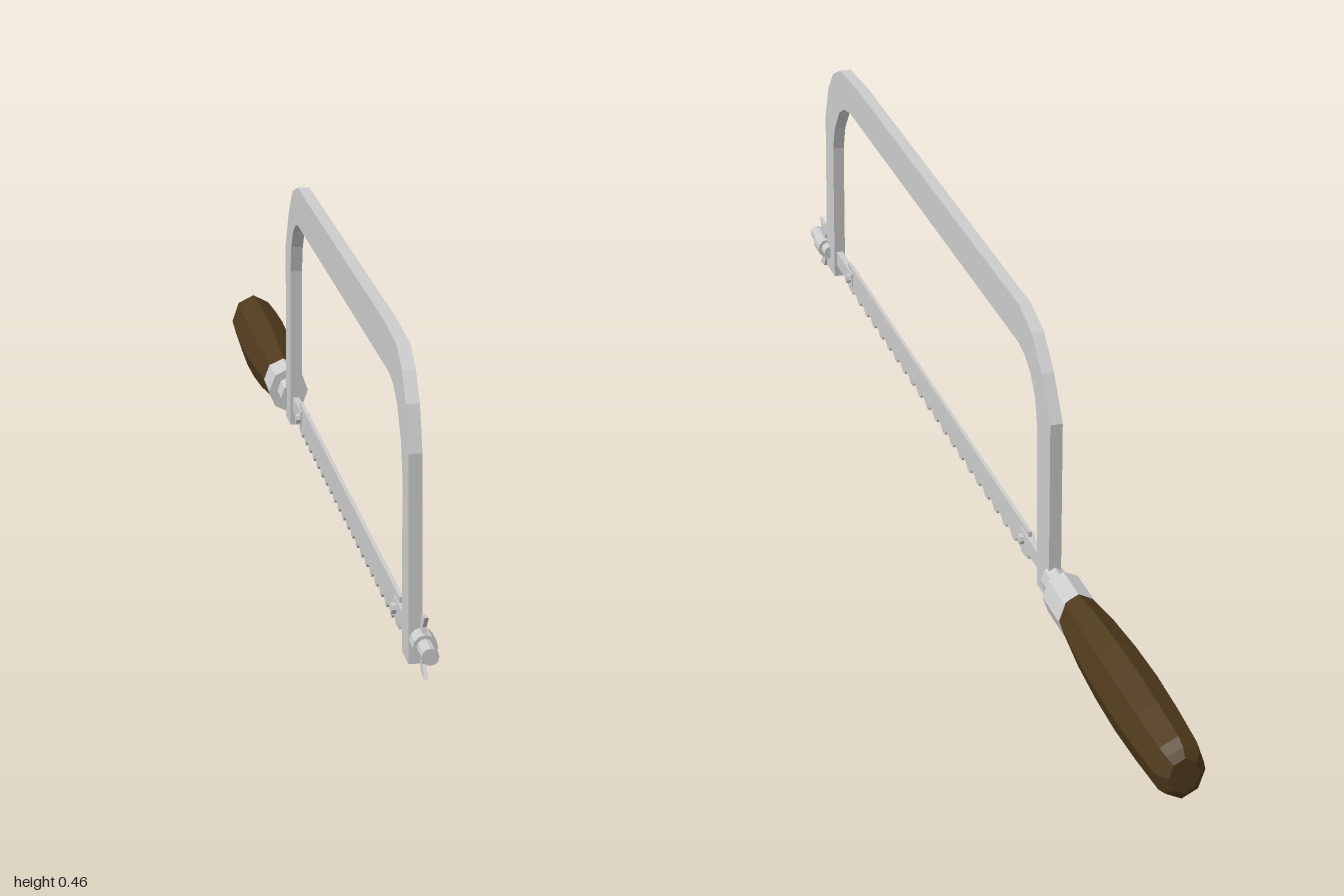
import * as THREE from 'three';

const AXIS_Y = 0.06;
const metal = new THREE.MeshStandardMaterial({ color: 0xcccccc, flatShading: true });
const wood = new THREE.MeshStandardMaterial({ color: 0x4f3a1c, flatShading: true });

export function createModel() {
  const model = new THREE.Group();

  const add = (name, geometry, material = metal) => {
    const mesh = new THREE.Mesh(geometry, material);
    mesh.name = name;
    model.add(mesh);
    return mesh;
  };

  // Flat part from [z, y] outline points, given a thickness along x
  const plate = (name, points, thickness, x = 0) => {
    const shape = new THREE.Shape(points.map(([z, y]) => new THREE.Vector2(z, y)));
    const geo = new THREE.ExtrudeGeometry(shape, { depth: thickness, bevelEnabled: false });
    geo.translate(0, 0, -thickness / 2).rotateY(-Math.PI / 2).translate(x, 0, 0);
    return add(name, geo);
  };

  // Turned part along z from [radius, z] points, listed front to back
  const turned = (name, points, sides, { x = 0, stretch = 1, material = metal } = {}) => {
    const geo = new THREE.LatheGeometry(points.map(([r, z]) => new THREE.Vector2(r, -z)), sides);
    geo.rotateX(-Math.PI / 2).scale(1, stretch, 1).translate(x, AXIS_Y, 0);
    return add(name, geo, material);
  };

  // Bow frame: outer edge front to back, then inner edge back to front
  plate('frame', [
    [0.925, 0.025], [0.915, 0.33], [0.89, 0.395], [0.855, 0.435], [0.805, 0.46], [0.68, 0.467],
    [-0.25, 0.467], [-0.315, 0.448], [-0.365, 0.402], [-0.41, 0.335], [-0.41, 0.025],
    [-0.35, 0.025], [-0.346, 0.30], [-0.335, 0.345], [-0.31, 0.378], [-0.28, 0.395], [-0.25, 0.402],
    [0.74, 0.402], [0.78, 0.394], [0.815, 0.375], [0.85, 0.33], [0.864, 0.285], [0.87, 0.025],
  ], 0.02);

  // Blade with a row of shallow teeth along its lower edge
  const blade = [[0.80, 0.083], [0.80, 0.034], [0.77, 0.031]];
  const teeth = 21, start = 0.765, pitch = 1.03 / teeth;
  for (let i = 0; i < teeth; i++) {
    const z = start - i * pitch;
    blade.push([z - pitch * 0.1, 0.039], [z - pitch * 0.45, 0.038],
      [z - pitch * 0.7, 0.029], [z - pitch * 0.95, 0.030]);
  }
  blade.push([-0.285, 0.034], [-0.285, 0.083]);
  plate('blade', blade, 0.006);

  // Tangs joining the blade to the frame, and the pins through its ends
  for (const [label, from, to, pin] of [['front', 0.90, 0.765, 0.78], ['rear', -0.25, -0.38, -0.262]]) {
    plate(label + 'Tang', [[from, 0.047], [from, 0.074], [to, 0.074], [to, 0.047]], 0.011);
    const geo = new THREE.CylinderGeometry(0.009, 0.009, 0.025, 8);
    geo.rotateZ(Math.PI / 2).translate(0, AXIS_Y, pin);
    add(label + 'BladePin', geo);
  }

  // Tensioning screw and wing nut
  turned('tensionScrew', [[0, 1], [0.0125, 1], [0.0125, 0.9], [0, 0.9]], 12, { x: 0.009 });
  turned('wingNutHub', [[0, 0.957], [0.018, 0.957], [0.018, 0.921], [0, 0.921]], 12, { x: 0.009 });
  for (const side of [1, -1]) {
    plate(side > 0 ? 'upperWing' : 'lowerWing', [
      [0.928, AXIS_Y + side * 0.01], [0.952, AXIS_Y + side * 0.01],
      [0.948, AXIS_Y + side * 0.027], [0.966, AXIS_Y + side * 0.046],
      [0.938, AXIS_Y + side * 0.042], [0.928, AXIS_Y + side * 0.025],
    ], 0.006, 0.009);
  }

  // Neck, ferrule and faceted wooden handle
  turned('neck', [[0, -0.40], [0.02, -0.40], [0.02, -0.455], [0, -0.455]], 8, { stretch: 1.25 });
  turned('ferrule', [[0, -0.45], [0.034, -0.45], [0.034, -0.53], [0, -0.53]], 8, { stretch: 1.15 });
  turned('handle', [
    [0, -0.525], [0.032, -0.525], [0.040, -0.61], [0.0445, -0.70], [0.046, -0.79],
    [0.044, -0.88], [0.040, -0.97], [0.035, -0.99], [0.024, -1], [0, -1],
  ], 8, { stretch: 1.24, material: wood });

  return model;
}
